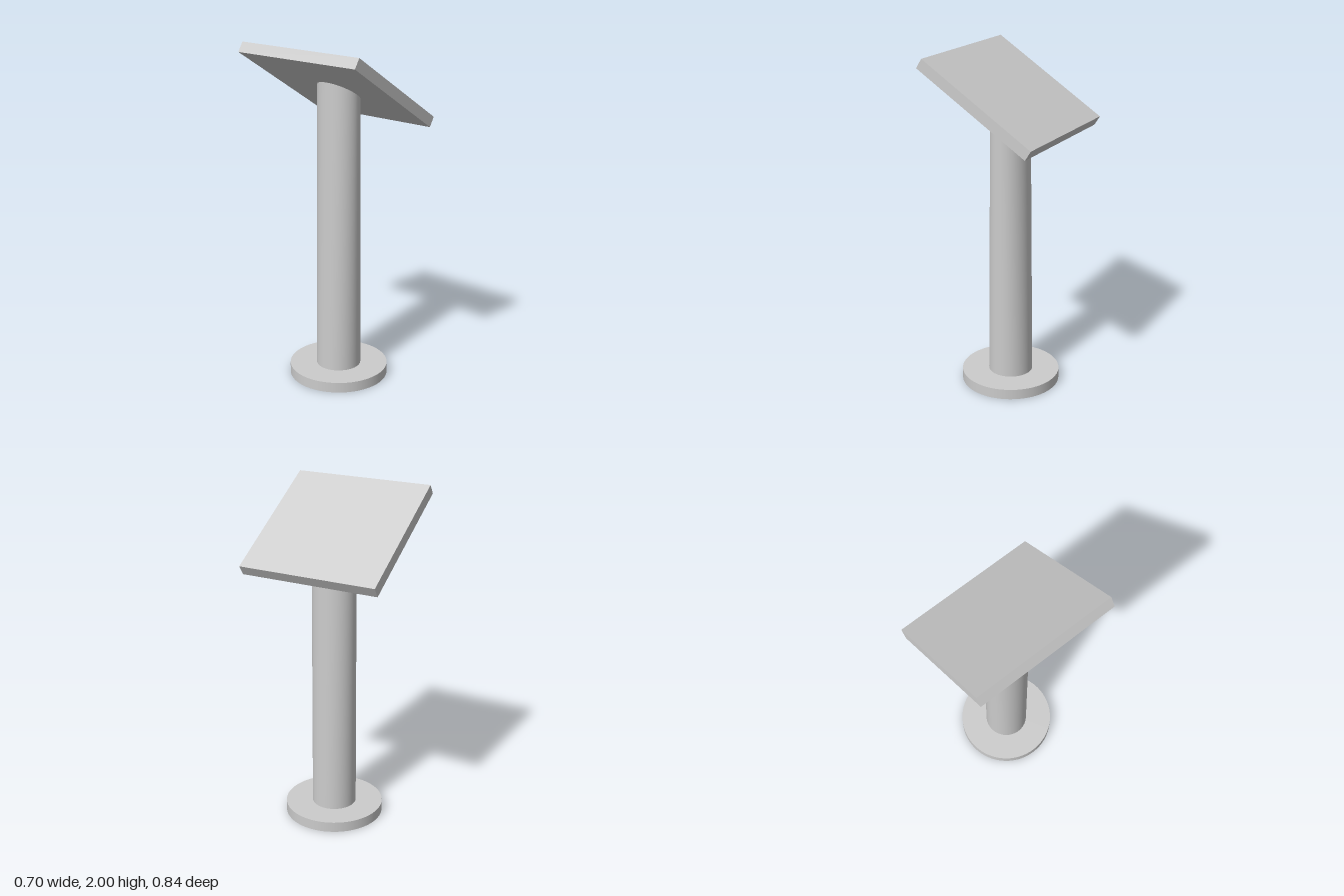
import * as THREE from 'three';

const SEG = 64;
const POST_Z = 0.015;   // the post and foot sit slightly forward of centre
const POST_R = 0.132;
const FOOT_R = 0.293;
const FOOT_H = 0.062;
const TILT = Math.atan2(0.417, 0.665);
const PLATE = { length: 0.785, thickness: 0.064, depth: 0.843, y: 1.765 };

export function createModel() {
  const solid = new THREE.MeshStandardMaterial({ color: 0xcccccc });
  const sheet = new THREE.MeshStandardMaterial({ color: 0xcccccc, side: THREE.DoubleSide });
  const group = new THREE.Group();
  const add = (name, geometry, material, x, y, z) => {
    const mesh = new THREE.Mesh(geometry, material);
    mesh.name = name;
    mesh.position.set(x, y, z);
    group.add(mesh);
    return mesh;
  };

  // Foot: a shallow cap, open below, with a hole under the post
  add('footRim', new THREE.CylinderGeometry(FOOT_R, FOOT_R, FOOT_H, SEG, 1, true),
    sheet, 0, FOOT_H / 2, POST_Z);
  add('footTop', new THREE.RingGeometry(POST_R, FOOT_R, SEG).rotateX(-Math.PI / 2),
    sheet, 0, FOOT_H, POST_Z);

  // Post: hollow tube, narrowing in x only, its top cut along the plate's underside
  const post = new THREE.CylinderGeometry(POST_R, POST_R, 1, SEG, 1, true).translate(0, 0.5, 0);
  const underside = PLATE.y - PLATE.thickness / 2 / Math.cos(TILT);
  const p = post.attributes.position;
  for (let i = 0; i < p.count; i++) {
    if (p.getY(i) < 0.5) continue;
    const x = p.getX(i) * 0.107 / POST_R;
    p.setX(i, x);
    p.setY(i, underside - x * Math.tan(TILT) - FOOT_H);
  }
  post.computeVertexNormals();
  // Weld the shading across the tube's seam
  const n = post.attributes.normal;
  for (const row of [0, SEG + 1]) {
    const a = new THREE.Vector3().fromBufferAttribute(n, row);
    a.add(new THREE.Vector3().fromBufferAttribute(n, row + SEG)).normalize();
    n.setXYZ(row, a.x, a.y, a.z);
    n.setXYZ(row + SEG, a.x, a.y, a.z);
  }
  add('post', post, sheet, 0, FOOT_H, POST_Z);

  // Tilted plate
  const plate = add('plate', new THREE.BoxGeometry(PLATE.length, PLATE.thickness, PLATE.depth),
    solid, 0, PLATE.y, 0);
  plate.rotation.z = -TILT;

  return group;
}
